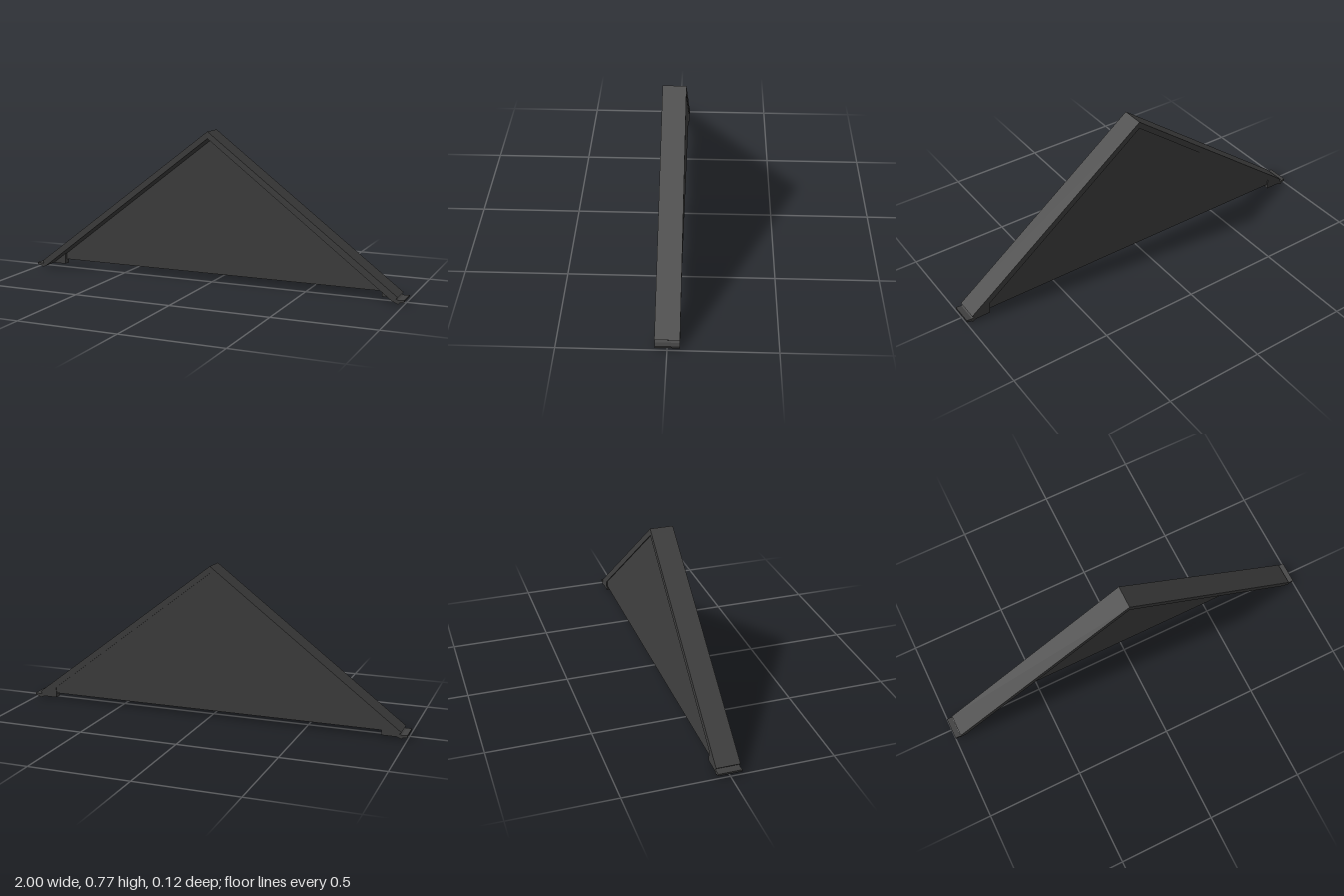
import * as THREE from 'three';

const material = new THREE.MeshStandardMaterial({ color: 0x404040, flatShading: true });

// Extrudes an outline in the xy plane between two depths.
function slab(name, points, zBack, zFront) {
  const shape = new THREE.Shape(points.map(([x, y]) => new THREE.Vector2(x, y)));
  const geometry = new THREE.ExtrudeGeometry(shape, { depth: zFront - zBack, bevelEnabled: false });
  geometry.translate(0, 0, zBack);
  const mesh = new THREE.Mesh(geometry, material);
  mesh.name = name;
  return mesh;
}

export function createModel() {
  const model = new THREE.Group();
  model.name = 'gableRoof';

  // Pitched roof covering, open underneath
  model.add(slab('roofCovering', [
    [-0.97, 0.033], [-0.947, 0.01], [0, 0.735], [0.947, 0.01], [0.97, 0.033], [0, 0.77],
  ], -0.057, 0.058));

  // Triangular wall set just inside the back edge
  model.add(slab('gableWall', [[-0.92, 0.033], [0.92, 0.033], [0, 0.74]], -0.052, -0.037));

  for (const side of [-1, 1]) {
    const mirror = (points) => points.map(([x, y]) => [side * x, y]);
    const label = side > 0 ? 'left' : 'right';

    // Wedge under the end of the wall
    model.add(slab(label + 'EaveBracket', mirror([
      [0.875, 0.01], [0.955, 0.01], [0.955, 0.03], [0.875, 0.085],
    ]), -0.057, -0.02));

    // Thin lipped gutter strip along the eave
    model.add(slab(label + 'EaveGutter', mirror([
      [0.945, 0.012], [0.963, 0.003], [0.972, 0], [0.978, 0.008], [0.995, 0.01],
      [1, 0.014], [1, 0.023], [0.972, 0.02], [0.958, 0.025],
    ]), -0.057, 0.056));
  }
  return model;
}
